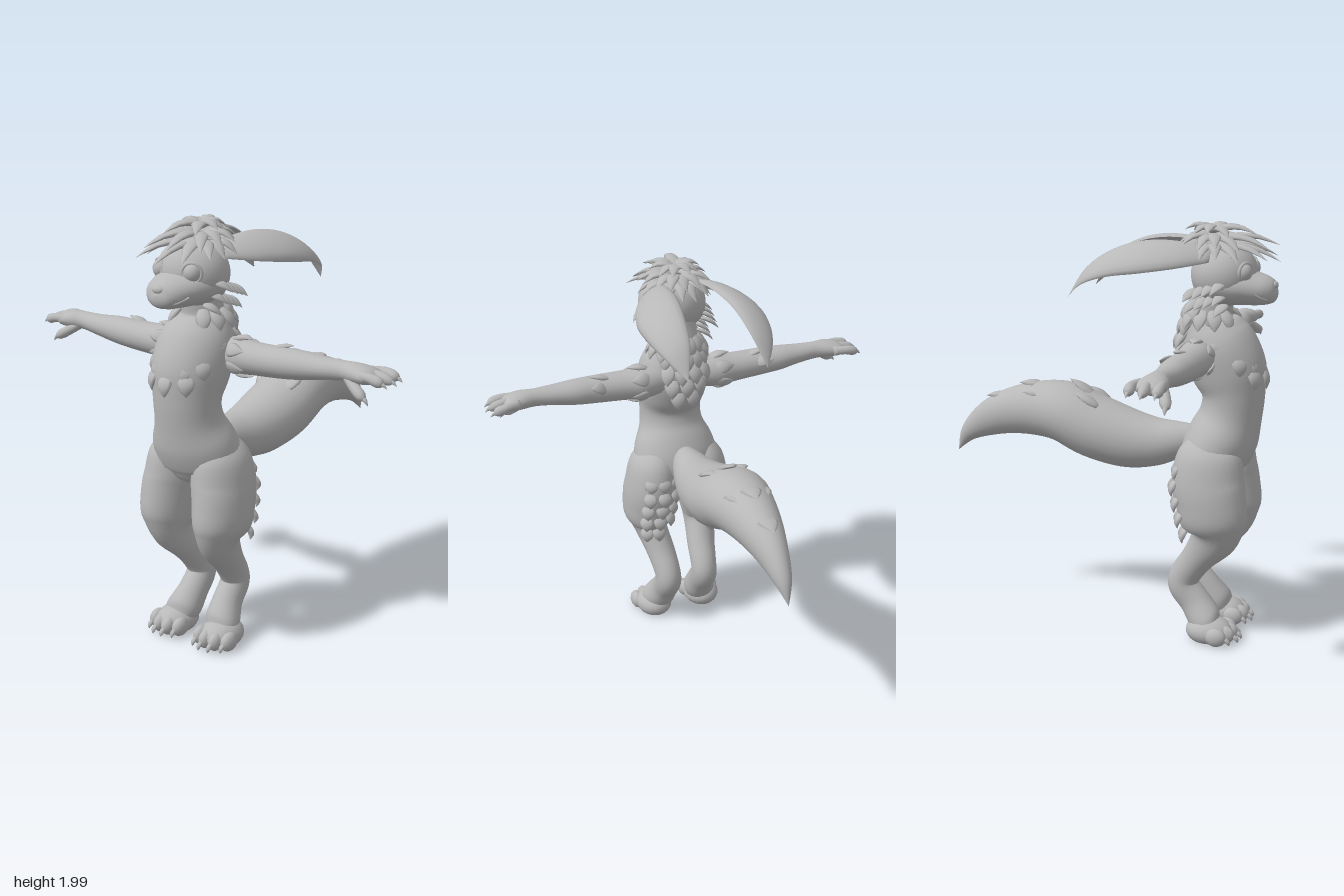
import * as THREE from 'three';
import { mergeGeometries } from 'three/addons/utils/BufferGeometryUtils.js';

const V = (x, y, z) => new THREE.Vector3(x, y, z);
const X = V(1, 0, 0), Y = V(0, 1, 0), Z = V(0, 0, 1);
const each = (n, f) => Array.from({ length: n }, (_, i) => f(i));

// Skin a closed surface over rings that run counter-clockwise about the path
function skin(rings) {
  const n = rings[0].length, m = rings.length, pos = [], idx = [];
  rings.forEach(r => r.forEach(p => pos.push(p.x, p.y, p.z)));
  [rings[0], rings[m - 1]].forEach(r => {
    const c = r.reduce((s, p) => s.add(p), V(0, 0, 0)).divideScalar(n);
    pos.push(c.x, c.y, c.z);
  });
  for (let j = 0; j < n; j++) {
    const k = (j + 1) % n, e = (m - 1) * n;
    for (let i = 0; i < m - 1; i++) {
      const a = i * n + j, b = i * n + k;
      idx.push(a, b, b + n, a, b + n, a + n);
    }
    idx.push(m * n, k, j, m * n + 1, e + j, e + k);
  }
  const g = new THREE.BufferGeometry();
  g.setAttribute('position', new THREE.Float32BufferAttribute(pos, 3));
  g.setIndex(idx);
  g.computeVertexNormals();
  return g;
}

// Smoothly subdivide rows of numbers
function smooth(rows, sub) {
  const out = [], at = i => rows[Math.min(Math.max(i, 0), rows.length - 1)];
  for (let i = 0; i < rows.length - 1; i++) {
    for (let s = 0; s < sub; s++) {
      const t = s / sub, a = at(i - 1), b = at(i), c = at(i + 1), d = at(i + 2);
      out.push(b.map((q, k) => q + 0.5 * t * (c[k] - a[k] + t * (2 * a[k] - 5 * q + 4 * c[k] - d[k]
        + t * (3 * (q - c[k]) + d[k] - a[k])))));
    }
  }
  return [...out, rows[rows.length - 1]];
}

// Loft of ellipses; a row is [x, y, z, radius along side, other radius]
function loft(rows, side, n = 20, sub = 5) {
  const r = smooth(rows, sub), P = r.map(q => V(q[0], q[1], q[2]));
  return skin(r.map((q, i) => {
    const T = P[Math.min(i + 1, r.length - 1)].clone().sub(P[Math.max(i - 1, 0)]).normalize();
    const v = T.cross(side).normalize();
    return each(n, j => {
      const th = j / n * Math.PI * 2;
      return P[i].clone().addScaledVector(side, Math.max(q[3], 4e-4) * Math.cos(th))
        .addScaledVector(v, Math.max(q[4], 4e-4) * Math.sin(th));
    });
  }));
}

function ball(x, y, z, rx, ry, rz, n = 20) {
  const g = new THREE.SphereGeometry(1, n, Math.ceil(n * 0.7));
  g.deleteAttribute('uv');
  return g.scale(rx, ry, rz).translate(x, y, z);
}

// Pointed, flattened lock of fur arching along the normal
function tuft(root, tip, normal, w, bulge = 0.02, flat = 0.4) {
  const d = tip.clone().sub(root), side = d.clone().cross(normal).normalize();
  const rows = [[0, 0.6], [0.3, 1], [0.65, 0.75], [1, 0]].map(([t, k]) => {
    const p = root.clone().addScaledVector(d, t).addScaledVector(normal, bulge * Math.sin(Math.PI * t));
    return [p.x, p.y, p.z, w * k, w * k * flat];
  });
  return loft(rows, side, 8, 2);
}

const TORSO = [[0, 0.77, 0.5, 0.03, 0.05], [0, 0.82, 0.5, 0.13, 0.13], [0, 0.9, 0.505, 0.215, 0.163],
  [0, 1.0, 0.545, 0.208, 0.165], [0, 1.1, 0.575, 0.165, 0.147], [0, 1.2, 0.585, 0.16, 0.148],
  [0, 1.3, 0.565, 0.175, 0.175], [0, 1.4, 0.525, 0.18, 0.175], [0, 1.48, 0.485, 0.16, 0.155],
  [0, 1.56, 0.46, 0.115, 0.115], [0, 1.65, 0.475, 0.1, 0.1], [0, 1.75, 0.49, 0.09, 0.09]];
const LEG = [[0.12, 1.01, 0.51, 0.05, 0.08], [0.128, 0.93, 0.505, 0.115, 0.15], [0.14, 0.8, 0.505, 0.134, 0.173],
  [0.153, 0.7, 0.525, 0.13, 0.168], [0.157, 0.6, 0.54, 0.118, 0.158], [0.143, 0.52, 0.535, 0.085, 0.115],
  [0.118, 0.41, 0.46, 0.075, 0.08], [0.105, 0.31, 0.393, 0.068, 0.074], [0.103, 0.25, 0.385, 0.068, 0.075],
  [0.105, 0.18, 0.44, 0.07, 0.076], [0.12, 0.1, 0.5, 0.085, 0.08], [0.13, 0.06, 0.54, 0.07, 0.05]];
const TAIL = [[0, 0.97, 0.42, 0.05, 0.06], [0, 0.95, 0.32, 0.09, 0.09], [0, 0.93, 0.2, 0.125, 0.12],
  [0, 0.937, 0.06, 0.155, 0.145], [0, 0.98, -0.1, 0.175, 0.155], [0, 1.04, -0.25, 0.172, 0.15],
  [0, 1.047, -0.4, 0.14, 0.135], [0, 1.02, -0.55, 0.105, 0.113], [0, 0.965, -0.68, 0.07, 0.085],
  [0, 0.89, -0.78, 0.04, 0.045], [0, 0.795, -0.84, 0, 0]];
const ARM = [[0.1, 1.4, 0.45, 0.07, 0.07], [0.2, 1.395, 0.45, 0.088, 0.08], [0.3, 1.395, 0.455, 0.082, 0.073],
  [0.45, 1.4, 0.455, 0.076, 0.068], [0.55, 1.405, 0.45, 0.072, 0.062], [0.65, 1.41, 0.45, 0.06, 0.05],
  [0.75, 1.415, 0.445, 0.048, 0.043], [0.82, 1.415, 0.445, 0.062, 0.043], [0.88, 1.41, 0.44, 0.07, 0.034],
  [0.915, 1.405, 0.435, 0.045, 0.015]];

// Point and outward normal on an upright loft at height y, angle from the front
function onBody(rows, y, ang) {
  const s = rows.slice().sort((a, b) => a[1] - b[1]);
  const i = Math.max(1, s.findIndex(r => r[1] >= y)), t = (y - s[i - 1][1]) / (s[i][1] - s[i - 1][1]);
  const q = s[i].map((v, k) => s[i - 1][k] + (v - s[i - 1][k]) * t);
  return { p: V(q[0] + q[3] * Math.sin(ang), y, q[2] + q[4] * Math.cos(ang)), n: V(Math.sin(ang), 0, Math.cos(ang)) };
}
function furOn(rows, y, ang, len, w, lift) {
  const { p, n } = onBody(rows, y, ang);
  return tuft(p.clone().addScaledVector(n, -0.015), p.clone().addScaledVector(n, lift).addScaledVector(Y, -len), n, w, 0.015);
}

function makeEar() {
  const across = V(0.86, -0.5, 0), up = V(0.5, 0.86, 0);
  const rows = smooth([[0.11, 1.85, 0.49, 0.045], [0.165, 1.855, 0.36, 0.095], [0.2, 1.845, 0.2, 0.118],
    [0.213, 1.815, 0.05, 0.102], [0.207, 1.75, -0.08, 0.064], [0.198, 1.65, -0.165, 0.002]], 5);
  return skin(rows.map(([x, y, z, w]) => each(18, j => {
    const s = Math.sin(j / 9 * Math.PI), c = Math.cos(j / 9 * Math.PI);
    return V(x, y, z).addScaledVector(across, w * c).addScaledVector(up, w * (s < 0 ? -0.42 * s : 0.16 * s));
  })));
}

export function createModel() {
  const model = new THREE.Group();
  const grey = new THREE.MeshStandardMaterial({ color: 0xb8b8b8 });
  grey.name = 'grey fur';
  const add = (name, ...geos) => {
    const mesh = new THREE.Mesh(geos.length > 1 ? mergeGeometries(geos) : geos[0], grey);
    mesh.name = name;
    model.add(mesh);
  };
  const pair = (name, ...geos) => {
    add('left' + name, ...geos);
    add('right' + name, ...geos.map(g => {
      const m = g.clone().scale(-1, 1, 1);
      m.setIndex(Array.from(g.index.array).reverse());
      m.computeVertexNormals();
      return m;
    }));
  };

  add('torso', loft(TORSO, X, 32));
  add('tail', loft(TAIL, X, 24));
  pair('Leg', loft(LEG, X, 24));
  pair('Arm', loft(ARM, Z, 20));
  pair('Ear', makeEar());

  // Paws: flat sole, four toes and claws
  const sole = ball(0.138, 0.05, 0.525, 0.095, 0.072, 0.115);
  const p = sole.attributes.position;
  for (let i = 0; i < p.count; i++) p.setY(i, Math.max(p.getY(i), 0.005));
  const toeX = [0.065, 0.115, 0.168, 0.218], toeZ = [0.59, 0.61, 0.605, 0.575];
  pair('Paw', sole, ...toeX.map((x, i) => ball(x, 0.047, toeZ[i], 0.032, 0.045, 0.052, 14)));
  pair('ToeClaws', ...toeX.map((x, i) => tuft(V(x, 0.05, toeZ[i] + 0.035), V(x, 0.012, toeZ[i] + 0.066), Z, 0.012, 0.012, 0.9)));

  // Hands: three fingers, a thumb and claws
  const fingers = [[0.39, 0.37, 0.965], [0.44, 0.433, 0.975], [0.485, 0.492, 0.965]];
  pair('Fingers', ...fingers.map(([z0, z1, x]) => loft([[0.84, 1.415, z0, 0.022, 0.024], [0.9, 1.418, z1, 0.022, 0.022],
    [0.945, 1.408, z1, 0.024, 0.024], [x, 1.4, z1, 0.014, 0.014], [x + 0.006, 1.398, z1, 0, 0]], Z, 10, 3)),
    loft([[0.77, 1.4, 0.46, 0.025, 0.02], [0.83, 1.365, 0.49, 0.026, 0.024], [0.875, 1.338, 0.505, 0.024, 0.022],
      [0.9, 1.325, 0.51, 0, 0]], Z, 10, 3));
  pair('FingerClaws', ...fingers.map(([, z, x]) => tuft(V(x - 0.015, 1.405, z), V(x + 0.025, 1.385, z), Y, 0.01, 0.006, 0.9)),
    tuft(V(0.885, 1.335, 0.508), V(0.912, 1.305, 0.512), Y, 0.01, 0.004, 0.9));

  // Head with muzzle, nose, mouth and eyes
  add('skull', ball(0, 1.76, 0.53, 0.17, 0.15, 0.155, 32));
  add('muzzle', loft([[0, 1.72, 0.5, 0.165, 0.1], [0, 1.71, 0.6, 0.15, 0.09], [0, 1.698, 0.68, 0.122, 0.076],
    [0, 1.692, 0.735, 0.093, 0.064], [0, 1.693, 0.768, 0.055, 0.045], [0, 1.695, 0.78, 0, 0]], X, 24));
  add('nose', ball(0, 1.718, 0.762, 0.032, 0.02, 0.02));
  const lip = new THREE.CatmullRomCurve3([V(-0.115, 1.685, 0.695), V(-0.07, 1.66, 0.741), V(0, 1.662, 0.765),
    V(0.07, 1.66, 0.741), V(0.115, 1.685, 0.695)]);
  add('mouth', new THREE.TubeGeometry(lip, 24, 0.006, 6));
  pair('Eye', ball(0.087, 1.782, 0.636, 0.042, 0.044, 0.042));
  const lid = new THREE.TorusGeometry(0.043, 0.008, 8, 24);
  pair('Eyelid', lid.rotateY(0.5).translate(0.092, 1.782, 0.648));
  pair('CheekFur', ...each(9, i => {
    const y = 1.74 - 0.014 * i, z = 0.56 - 0.045 * (i % 4);
    return tuft(V(0.13 - 0.006 * i, y, z), V(0.212 - 0.008 * i, y - 0.05, z - 0.045), V(0.6, 0.6, 0), 0.026, 0.012);
  }));

  // Hair: three layers of locks swept out from the crown, longest at the front
  const locks = [];
  [[15, 1.885, 1.835, 0.055, 1], [13, 1.92, 1.885, 0.03, 0.93], [9, 1.95, 1.945, 0, 0.66]].forEach(([n, y0, y1, r0, k], ring) => {
    for (let i = 0; i < n; i++) {
      const a = (i + ring * 0.4) / n * Math.PI * 2, f = Math.max(0, Math.cos(a)), jit = ((i * 7 + ring * 3) % 5) / 5;
      const d = V(Math.sin(a), 0, Math.cos(a)), len = (0.17 + 0.15 * f * f + 0.03 * jit) * k;
      const root = V(0, y0, 0.47).addScaledVector(d, r0), tip = V(0, y1 + 0.03 * jit - 0.01, 0.47).addScaledVector(d, len);
      locks.push(tuft(root, tip, Y, 0.034, 0.03, 0.4));
    }
  });
  add('hair', ...locks);

  // Chest bib and back mane of overlapping tufts
  const bib = [], mane = [];
  [1.55, 1.5, 1.44, 1.38, 1.33].forEach((y, r) => {
    const n = 7 - (r > 2 ? r - 2 : 0) * 2, spread = r > 3 ? 0.55 : r > 2 ? 0.85 : 1.2;
    for (let i = 0; i < n; i++) {
      const a = (i / (n - 1) * 2 - 1) * spread;
      bib.push(furOn(TORSO, y + 0.03 * a * a, a, 0.1, 0.04, 0.012));
    }
  });
  [1.63, 1.57, 1.5, 1.42, 1.35].forEach((y, r) => {
    const n = 6 - r;
    for (let i = 0; i < n; i++) mane.push(furOn(TORSO, y, Math.PI + (i - (n - 1) / 2) * 0.42, 0.1, 0.038, r < 3 ? 0.035 : 0.015));
  });
  add('chestFur', ...bib);
  add('backFur', ...mane);

  // Smaller tufts on neck, shoulders, arms, thighs and tail
  pair('NeckFur', ...each(4, i => furOn(TORSO, 1.6, 0.7 + i * 0.5, 0.09, 0.035, 0.05)));
  pair('ShoulderFur', ...each(6, i => {
    const a = i / 6 * Math.PI * 2, n = V(0, Math.cos(a), Math.sin(a));
    return tuft(V(0.17, 1.395, 0.452).addScaledVector(n, 0.07), V(0.275, 1.395, 0.455).addScaledVector(n, 0.085), n, 0.034, 0.008);
  }), tuft(V(0.37, 1.45, 0.44), V(0.48, 1.477, 0.43), Y, 0.03, 0.004), tuft(V(0.4, 1.42, 0.4), V(0.49, 1.44, 0.365), V(0, 0.6, -0.8), 0.03, 0.004));
  pair('ThighFur', ...each(14, i => furOn(LEG, 0.88 - 0.075 * Math.floor(i / 3), Math.PI - 0.5 + (i % 3) * 0.55, 0.08, 0.036, 0.008)));
  add('tailFur', ...[[0, 1.125, -0.1, 1.21, -0.235], [0, 1.165, -0.38, 1.17, -0.5], [0, 1.1, -0.56, 1.09, -0.68],
    [0.08, 1.1, -0.06, 1.16, -0.19], [-0.08, 1.1, -0.06, 1.16, -0.19], [0.07, 1.13, -0.34, 1.14, -0.47],
    [-0.07, 1.13, -0.34, 1.14, -0.47]].map(([x, y, z, y1, z1]) => tuft(V(x, y, z), V(x * 0.9, y1, z1), Y, 0.05, 0.008, 0.3)));
  return model;
}
